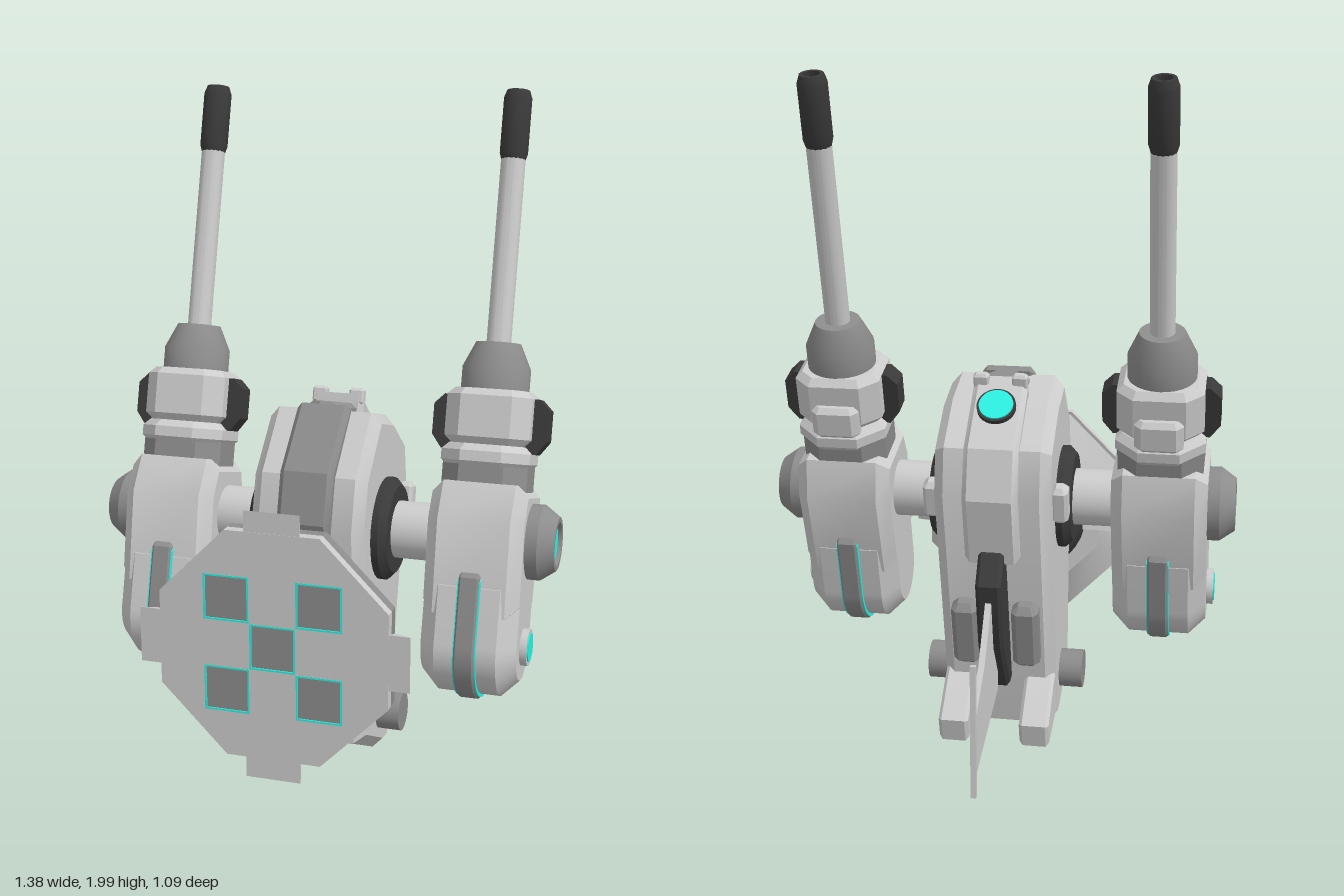
import * as THREE from 'three';
import { toCreasedNormals } from 'three/addons/utils/BufferGeometryUtils.js';
import { ConvexGeometry } from 'three/addons/geometries/ConvexGeometry.js';

const mat = (color) => new THREE.MeshStandardMaterial({ color });
const light = mat(0xcccccc), mid = mat(0x8c8c8c), dark = mat(0x3a3a3a), teal = mat(0x2cf0e0);

function add(parent, name, geometry, material, x = 0, y = 0, z = 0) {
  const mesh = new THREE.Mesh(toCreasedNormals(geometry, 0.5), material);
  mesh.name = name;
  mesh.position.set(x, y, z);
  parent.add(mesh);
  return mesh;
}

const polygon = (points) => new THREE.Shape(points.map(([a, b]) => new THREE.Vector2(a, b)));

// Extrusion centred on its depth, with a bevel that stays inside the outline
function extrude(shape, width, bevel = 0) {
  const geometry = new THREE.ExtrudeGeometry(shape, {
    depth: width - 2 * bevel, curveSegments: 20, bevelEnabled: bevel > 0,
    bevelThickness: bevel, bevelSize: bevel, bevelOffset: -bevel, bevelSegments: 1,
  });
  return geometry.translate(0, 0, bevel - width / 2);
}

// Side profile of (z, y) points, extruded across x
const side = (shape, width, bevel) => extrude(shape, width, bevel).rotateY(-Math.PI / 2);

// Upright block with cut corners and bevelled ends
function block(w, h, d, cut, bevel) {
  const a = w / 2, b = d / 2;
  const shape = polygon([[-a + cut, -b], [a - cut, -b], [a, -b + cut], [a, b - cut],
    [a - cut, b], [-a + cut, b], [-a, b - cut], [-a, -b + cut]]);
  return extrude(shape, h, bevel).rotateX(-Math.PI / 2);
}

const lathe = (points, segments = 28) =>
  new THREE.LatheGeometry(points.map(([r, y]) => new THREE.Vector2(r, y)), segments);

// Upright slot outline: round foot, chamfered head
function slot(r, foot, head) {
  const s = new THREE.Shape();
  s.moveTo(r, head - r * 0.4);
  s.lineTo(r * 0.6, head);
  s.lineTo(-r * 0.6, head);
  s.lineTo(-r, head - r * 0.4);
  s.lineTo(-r, foot);
  s.absarc(0, foot, r, Math.PI, 2 * Math.PI, false);
  return s;
}

function square(x, y, h) {
  return [[x - h, y - h], [x + h, y - h], [x + h, y + h], [x - h, y + h]];
}

function makeGun(s) {
  const gun = new THREE.Group();
  gun.name = s > 0 ? 'leftGun' : 'rightGun';
  gun.position.x = s * 0.47;

  // Housing and its rounded foot
  add(gun, 'gunHousing', side(polygon([[-0.14, -0.22], [0.14, -0.22], [0.162, 0.05], [0.12, 0.16],
    [-0.12, 0.16], [-0.162, 0.05]]), 0.28, 0.035), light);
  add(gun, 'gunFoot', side(slot(0.148, -0.305, -0.08), 0.28, 0.05), light);
  add(gun, 'footRim', side(slot(0.164, -0.305, -0.045), 0.06, 0.006), mid);
  add(gun, 'footLightStrip', side(slot(0.158, -0.305, -0.06), 0.066), teal);

  // Stacked neck bands and the shoulder block
  add(gun, 'neck', block(0.25, 0.16, 0.24, 0.06, 0.01), mid, 0, 0.18, 0);
  add(gun, 'neckBand', block(0.26, 0.07, 0.28, 0.07, 0.02), light, 0, 0.235, 0);
  add(gun, 'shoulderBlock', block(0.25, 0.16, 0.24, 0.05, 0.02), light, 0, 0.35, 0);
  add(gun, 'shoulderBack', block(0.14, 0.1, 0.06, 0.02, 0.015), light, 0, 0.3, -0.118);
  for (const w of [-1, 1]) {
    const wing = extrude(polygon([[0.1, 0.25], [0.14, 0.25], [0.17, 0.29], [0.17, 0.38],
      [0.14, 0.41], [0.1, 0.41]]), 0.07);
    add(gun, 'shoulderWing', w > 0 ? wing : wing.rotateY(Math.PI), dark);
  }

  // Barrel
  add(gun, 'barrelSocket', lathe([[0, 0.41], [0.1, 0.41], [0.1, 0.495], [0.066, 0.568], [0, 0.568]]), mid);
  add(gun, 'barrel', new THREE.CylinderGeometry(0.036, 0.036, 0.58, 24), light, 0, 0.83, 0);
  add(gun, 'muzzle', lathe([[0, 1.105], [0.036, 1.105], [0.042, 1.125], [0.042, 1.285], [0.034, 1.308],
    [0.024, 1.308], [0.024, 1.22], [0, 1.22]], 16), dark);

  // Outer pivot cap and lower lamp
  const turn = -s * Math.PI / 2;
  const cap = lathe([[0.11, 0], [0.11, 0.04], [0.078, 0.085], [0.063, 0.085], [0.058, 0.065], [0, 0.065]]);
  add(gun, 'pivotCap', cap.rotateZ(turn), mid, s * 0.135);
  const disc = (r, h) => new THREE.CylinderGeometry(r, r, h, 28).rotateZ(turn);
  add(gun, 'pivotLight', disc(0.052, 0.02), teal, s * 0.2);
  add(gun, 'lampRing', disc(0.054, 0.03), light, s * 0.145, -0.305, 0);
  add(gun, 'lamp', disc(0.042, 0.03), teal, s * 0.148, -0.305, 0);
  return gun;
}

function makeDish() {
  const dish = new THREE.Group();
  dish.name = 'shield';
  dish.position.y = 0.525;
  const k = 0.33 / Math.cos(Math.PI / 8);
  const cells = [[0, 0], [-1, -1], [1, -1], [-1, 1], [1, 1]].map(([a, b]) => [a * 0.134, b * 0.134]);

  // Front plate with shallow square panels outlined in light
  const face = polygon([...Array(8).keys()].map((i) => {
    const a = (i + 0.5) * Math.PI / 4;
    return [k * Math.cos(a), k * Math.sin(a)];
  }));
  for (const [x, y] of cells) face.holes.push(polygon(square(x, y, 0.066)));
  add(dish, 'shieldFace', extrude(face, 0.03), light, 0, 0, 0.53);
  for (const [x, y] of cells) {
    add(dish, 'panelFloor', new THREE.BoxGeometry(0.132, 0.132, 0.03), mid, x, y, 0.527);
    const frame = polygon(square(0, 0, 0.066));
    frame.holes.push(polygon(square(0, 0, 0.061)));
    add(dish, 'panelLight', extrude(frame, 0.026), teal, x, y, 0.533);
  }

  // Stepped octagonal back and round hub
  const oct = (r1, r2, h) => new THREE.CylinderGeometry(r1 * k / 0.33, r2 * k / 0.33, h, 8)
    .rotateY(Math.PI / 8).rotateX(Math.PI / 2);
  add(dish, 'shieldRim', oct(0.33, 0.33, 0.035), mid, 0, 0, 0.4985);
  add(dish, 'shieldBack', oct(0.33, 0.24, 0.05), light, 0, 0, 0.456);
  add(dish, 'shieldHub', lathe([[0, 0.35], [0.14, 0.35], [0.18, 0.375], [0.2, 0.44], [0, 0.44]], 32)
    .rotateX(Math.PI / 2), dark);
  const corners = [[0.08, 0.39, 0.544], [0.08, 0.27, 0.544], [0.05, 0.28, 0.44], [0.035, 0.19, 0.4]];
  const tab = corners.flatMap(([x, y, z]) => [new THREE.Vector3(x, y, z), new THREE.Vector3(-x, y, z)]);
  for (let i = 0; i < 4; i++) {
    add(dish, 'shieldTab', new ConvexGeometry(tab), light).rotation.z = i * Math.PI / 2;
  }

  // Mounting neck
  add(dish, 'shieldNeck', new THREE.CylinderGeometry(0.075, 0.075, 0.2, 24).rotateX(Math.PI / 2), light, 0, 0, 0.26);
  add(dish, 'neckMount', block(0.23, 0.16, 0.2, 0.05, 0.02).rotateX(Math.PI / 2), light, 0, 0, 0.23);
  return dish;
}

export function createModel() {
  const model = new THREE.Group();
  model.name = 'twinGunTurret';

  // Everything but the shield and tail leans back around the gun axle
  const body = new THREE.Group();
  body.name = 'leaningBody';
  body.position.set(0, 0.73, 0.02);
  body.rotation.x = -0.268;
  model.add(body);

  add(body, 'hull', side(polygon([[0.14, 0.335], [0.25, 0.14], [0.25, -0.02], [0.165, -0.22], [0.045, -0.64],
    [-0.18, -0.685], [-0.26, -0.67], [-0.25, 0.14], [-0.19, 0.27], [-0.02, 0.335]]), 0.34, 0.03), light);
  add(body, 'frontRidge', side(polygon([[0.16, 0.35], [0.28, 0.15], [0.28, 0], [0.18, -0.17], [0.063, -0.64],
    [0.015, -0.65], [0.1, 0], [0.13, 0.35]]), 0.16, 0.015), mid);
  add(body, 'topLink', block(0.14, 0.08, 0.13, 0.045, 0.015), mid, 0, 0.32, 0.075);
  add(body, 'backSpine', side(polygon([[0.025, 0.39], [0.025, 0.25], [-0.15, -0.08], [-0.285, -0.06], [-0.285, 0.153],
    [-0.212, 0.285]]), 0.16, 0.015), light);
  add(body, 'chinPlate', side(polygon([[0.085, -0.5], [0.1, -0.5], [0.065, -0.66], [0.01, -0.67], [0.01, -0.6]]), 0.15), dark);

  // Horns on the spine's front corners, and its round lamp
  for (const s of [-1, 1]) add(body, 'spineHorn', block(0.045, 0.05, 0.03, 0.005, 0.008), light, s * 0.057, 0.383, 0.009);
  const lamp = new THREE.Group();
  lamp.name = 'spineLamp';
  lamp.position.set(0, 0.344, -0.08);
  lamp.rotation.x = -0.42;
  body.add(lamp);
  add(lamp, 'lampRing', new THREE.CylinderGeometry(0.057, 0.057, 0.03, 28), dark);
  add(lamp, 'lamp', new THREE.CylinderGeometry(0.05, 0.05, 0.03, 28), teal, 0, 0.005, 0);

  // Axle with its dark bearing, and the lower pin
  const across = (r, w, n = 28) => new THREE.CylinderGeometry(r, r, w, n).rotateZ(Math.PI / 2);
  add(body, 'axle', across(0.085, 0.7), light);
  add(body, 'axleBearing', lathe([[0, -0.212], [0.13, -0.212], [0.153, -0.19], [0.153, 0.19], [0.13, 0.212], [0, 0.212]])
    .rotateZ(Math.PI / 2), dark);
  add(body, 'lowerPin', across(0.058, 0.48), mid, 0, -0.556, -0.128);

  // Paired rear details
  for (const s of [-1, 1]) {
    body.add(makeGun(s));
    add(body, 'rearSpur', side(polygon([[-0.2, -0.48], [-0.28, -0.5], [-0.41, -0.557], [-0.408, -0.635],
      [-0.255, -0.64], [-0.18, -0.66]]), 0.09, 0.01), light, s * 0.122, 0, 0);
    add(body, 'rearVent', block(0.08, 0.22, 0.07, 0.015, 0.02), mid, s * 0.09, -0.32, -0.27);
    add(body, 'sideClip', block(0.05, 0.12, 0.06, 0.01, 0.015), light, s * 0.188, 0.08, -0.16);
  }

  // Dark tail bracket
  add(body, 'tailBracket', side(polygon([[-0.24, -0.02], [-0.29, -0.02], [-0.367, -0.085], [-0.374, -0.3],
    [-0.3, -0.5], [-0.24, -0.504]]), 0.075, 0.01), dark);

  // Upright tail fin with a thin end post
  add(model, 'tailFin', side(polygon([[-0.22, 0.5], [-0.297, 0.5], [-0.41, 0.35], [-0.536, 0.265],
    [-0.536, 0.085], [-0.18, 0.18]]), 0.018), light);
  add(model, 'tailPost', new THREE.BoxGeometry(0.016, 0.4, 0.014), light, 0, 0.21, -0.54);

  model.add(makeDish());
  return model;
}
